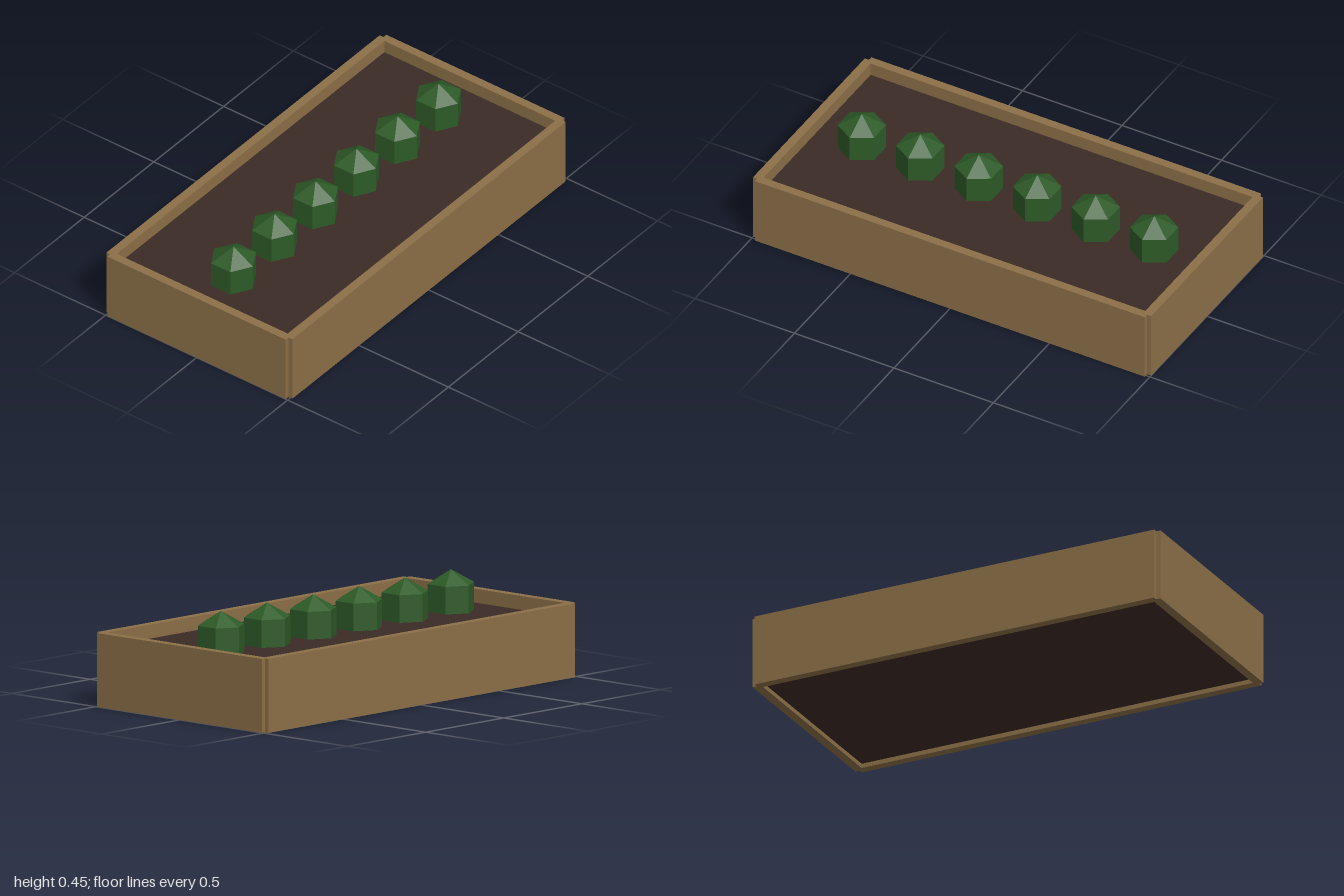
import * as THREE from 'three';

export function createModel() {
  const wood = new THREE.MeshStandardMaterial({ color: 0x8b6f47 });
  wood.name = 'wood';
  const earth = new THREE.MeshStandardMaterial({ color: 0x3c2b26 });
  earth.name = 'earth';
  const leaf = new THREE.MeshStandardMaterial({ color: 0x2d5a27 });
  leaf.name = 'leaf';

  const model = new THREE.Group();
  model.name = 'planterBed';

  const add = (name, geometry, material, x, y, z) => {
    const mesh = new THREE.Mesh(geometry, material);
    mesh.name = name;
    mesh.position.set(x, y, z);
    model.add(mesh);
  };

  const height = 0.327, thick = 0.041, halfX = 0.98, halfZ = 0.49;

  // Four boards, centred on the bed outline so the corners are notched
  const longBoard = new THREE.BoxGeometry(halfX * 2, height, thick);
  const shortBoard = new THREE.BoxGeometry(thick, height, halfZ * 2);
  add('frontBoard', longBoard, wood, 0, height / 2, halfZ);
  add('backBoard', longBoard, wood, 0, height / 2, -halfZ);
  add('leftBoard', shortBoard, wood, halfX, height / 2, 0);
  add('rightBoard', shortBoard, wood, -halfX, height / 2, 0);

  // Soil, raised slightly off the ground and sunk below the rim
  const soil = new THREE.BoxGeometry(halfX * 2 - thick, 0.245, halfZ * 2 - thick);
  add('soil', soil, earth, 0, 0.143, 0);

  // Row of six faceted hexagonal plants, half buried in the soil
  const plant = new THREE.SphereGeometry(0.1224, 6, 3).rotateY(Math.PI / 6).toNonIndexed();
  plant.computeVertexNormals();
  for (let i = 0; i < 6; i++) {
    add('plant' + (i + 1), plant, leaf, -0.735 + i * 0.294, height, 0);
  }

  return model;
}
